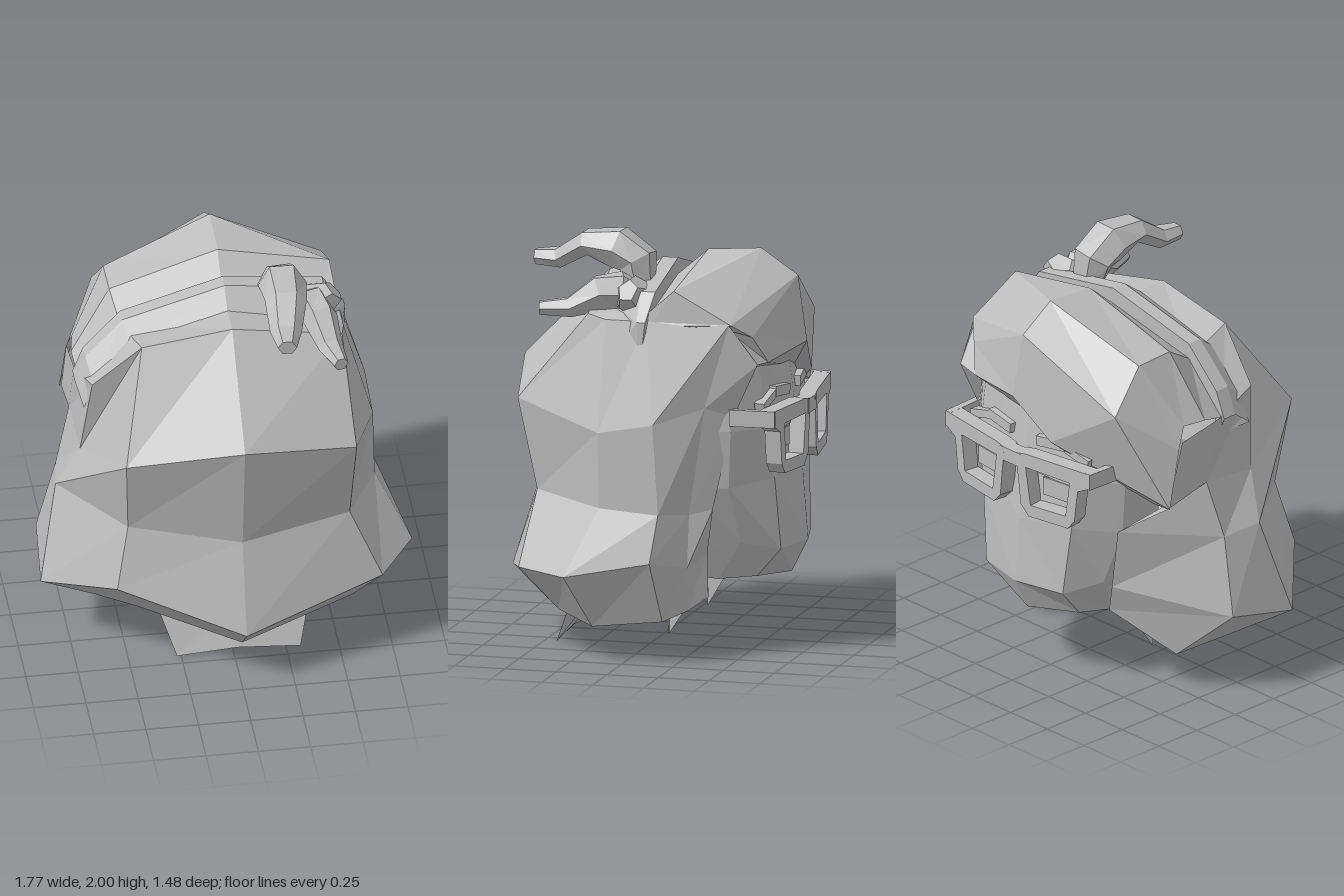
import * as THREE from 'three';

const clay = new THREE.MeshStandardMaterial({ color: 0xbdbdbd, flatShading: true, side: THREE.DoubleSide });
clay.name = 'clay grey';

// Faceted skin stretched over rows of cross-section points
function skin(name, rows, closed = false) {
  const pos = [];
  const n = rows[0].length;
  for (let i = 0; i < rows.length - 1; i++) {
    for (let j = 0; j < (closed ? n : n - 1); j++) {
      const k = (j + 1) % n;
      const a = rows[i][j], b = rows[i][k], c = rows[i + 1][k], d = rows[i + 1][j];
      pos.push(...a, ...b, ...c, ...a, ...c, ...d);
    }
  }
  const g = new THREE.BufferGeometry();
  g.setAttribute('position', new THREE.Float32BufferAttribute(pos, 3));
  g.computeVertexNormals();
  const m = new THREE.Mesh(g, clay);
  m.name = name;
  return m;
}

function box(name, size, at, rot = [0, 0, 0]) {
  const m = new THREE.Mesh(new THREE.BoxGeometry(...size), clay);
  m.name = name;
  m.position.set(...at);
  m.rotation.set(...rot);
  return m;
}

// Tapered six-sided tail; each stop is [x, y, z, half width, half height]
function tail(name, stops) {
  const pts = stops.map(s => new THREE.Vector3(s[0], s[1], s[2]));
  const rows = stops.map((s, i) => {
    const t = pts[Math.min(i + 1, pts.length - 1)].clone().sub(pts[Math.max(i - 1, 0)]).normalize();
    const up = new THREE.Vector3().crossVectors(t, new THREE.Vector3(1, 0, 0)).normalize();
    const side = new THREE.Vector3().crossVectors(up, t);
    return Array.from({ length: 6 }, (_, k) => {
      const a = k * Math.PI / 3;
      return pts[i].clone().addScaledVector(side, Math.cos(a) * s[3])
        .addScaledVector(up, Math.sin(a) * s[4] * 1.15).toArray();
    });
  });
  rows.unshift(rows[0].map(() => pts[0].toArray()));
  rows.push(rows[0].map(() => pts[pts.length - 1].toArray()));
  return skin(name, rows, true);
}

export function createModel() {
  const model = new THREE.Group();
  model.name = 'head';

  // Long hair: locks from one side of the face round the back to the other, each top to bottom
  const locks = [
    [[.51, 1.43, -.6], [.5, 1.17, -.48], [.51, .72, -.38], [.46, .5, -.34], [.48, .29, -.35]],
    [[.55, 1.62, -.47], [.58, 1.22, -.36], [.57, .7, -.28], [.6, .45, -.28], [.58, .24, -.28]],
    [[.57, 1.62, -.07], [.71, 1.15, -.14], [.72, .72, -.17], [.8, .5, -.15], [.68, .2, -.18]],
    [[.57, 1.62, .13], [.71, 1.1, .13], [.72, .74, .12], [.88, .43, .25], [.73, .17, .15]],
    [[.55, 1.64, .22], [.57, 1.22, .56], [.55, .78, .47], [.7, .43, .52], [.57, .21, .36]],
    [[.02, 1.75, .26], [.02, 1.32, .68], [.02, .75, .6], [.02, .3, .74], [.02, .15, .58]],
    [[-.41, 1.68, .25], [-.53, 1.22, .57], [-.51, .81, .48], [-.57, .5, .55], [-.45, .28, .4]],
    [[-.64, 1.45, .2], [-.69, 1.05, .15], [-.8, .82, .1], [-.89, .35, .23], [-.62, .19, .15]],
    [[-.69, 1.38, -.05], [-.7, 1.08, -.15], [-.77, .8, -.1], [-.86, .42, -.13], [-.62, .19, -.27]],
    [[-.69, 1.33, -.3], [-.7, 1.02, -.4], [-.46, .85, -.5], [-.42, .55, -.5], [-.38, .41, -.48]],
  ];
  // Tuck the hem inwards underneath
  locks.forEach(l => {
    const [x, y, z] = l[4];
    l.push([x * .6, y + .16, z * .6]);
  });
  model.add(skin('longHair', locks));

  // Crown and swept fringe, from the back of the crown to the brow
  model.add(skin('crownAndFringe', [
    [[.57, 1.62, .13], [.55, 1.64, .22], [.02, 1.75, .26], [-.41, 1.68, .25], [-.64, 1.45, .2]],
    [[.57, 1.62, -.03], [.5, 1.65, -.06], [.02, 1.74, -.07], [-.47, 1.61, -.04], [-.68, 1.37, -.02]],
    [[.57, 1.62, -.1], [.55, 1.77, -.2], [.02, 1.87, -.22], [-.5, 1.71, -.2], [-.69, 1.4, -.15]],
    [[.57, 1.61, -.25], [.55, 1.62, -.48], [.02, 1.89, -.48], [-.5, 1.7, -.4], [-.67, 1.4, -.27]],
    [[.55, 1.6, -.46], [.46, 1.55, -.56], [.02, 1.77, -.66], [-.53, 1.5, -.585], [-.69, 1.3, -.32]],
    [[.51, 1.43, -.6], [.39, 1.42, -.62], [.04, 1.46, -.71], [-.18, 1.28, -.67], [-.71, 1.02, -.4]],
    [[.48, 1.43, -.5], [.35, 1.38, -.54], [.04, 1.34, -.6], [-.18, 1.25, -.56], [-.58, 1, -.38]],
  ]));

  // Headband: an arc over the crown, upright in front and sloping into the hair behind
  const arc = [[.6, 1.4], [.6, 1.62], [.5, 1.75], [.02, 1.82], [-.47, 1.69], [-.65, 1.5], [-.7, 1.37]];
  model.add(skin('headband', arc.map(([x, y], i) => {
    const w = Math.min(1, .1 + i * .45), z = -.01 - x * .05;
    return [[x * .95, y - .09, z - .06 * w], [x, y, z - .06 * w], [x, y, z + .015 * w], [x * .96, y - .085, z + .13 * w]];
  }), true));

  // Knot with two curling tails
  const knot = new THREE.Mesh(new THREE.DodecahedronGeometry(1), clay);
  knot.name = 'knot';
  knot.scale.set(.13, .09, .08);
  knot.position.set(.45, 1.72, .03);
  model.add(knot);
  model.add(tail('upperTail', [[.3, 1.72, .03, .08, .06], [.28, 1.85, .05, .11, .085], [.275, 1.91, .15, .115, .09],
    [.27, 1.925, .3, .1, .055], [.25, 1.84, .44, .075, .045], [.24, 1.835, .56, .045, .035]]));
  model.add(tail('lowerTail', [[.38, 1.69, .01, .06, .06], [.42, 1.73, .1, .09, .085], [.45, 1.72, .19, .085, .08],
    [.48, 1.65, .33, .06, .045], [.51, 1.645, .47, .035, .03]]));

  // Face: each row gives y, then half profile points [x, y offset, z], mirrored
  const faceRows = [
    [.5, [[0, 0, -.25], [.15, -.02, -.25], [.25, -.06, -.25], [.3, -.1, -.25]]],
    [.34, [[0, 0, -.63], [.25, .02, -.53], [.32, .01, -.36], [.34, .02, -.28]]],
    [.5, [[0, 0, -.71], [.26, 0, -.65], [.36, .04, -.48], [.4, 0, -.28]]],
    [.82, [[0, 0, -.685], [.3, .03, -.63], [.46, 0, -.45], [.52, 0, -.28]]],
    [1.1, [[0, 0, -.65], [.36, 0, -.6], [.5, 0, -.47], [.54, 0, -.28]]],
    [1.5, [[0, 0, -.6], [.34, 0, -.56], [.49, 0, -.44], [.53, 0, -.28]]],
  ];
  model.add(skin('face', faceRows.map(([y, half]) => {
    const row = half.map(([x, dy, z]) => [.02 + x, y + dy, z]);
    const mirrored = half.slice(1).map(([x, dy, z]) => [.02 - x, y + dy, z]).reverse();
    return [...mirrored, ...row];
  })));

  // Glasses, eyes and brows on each side
  const glasses = new THREE.Group();
  glasses.name = 'glasses';
  for (const s of [1, -1]) {
    const pt = ([x, y]) => new THREE.Vector2(s * x, y);
    const rim = new THREE.Shape([[.04, 1.19], [.1, 1.2], [.48, 1.21], [.48, 1.13], [.42, 1.1], [.4, .94], [.36, .89],
      [.12, .88], [.07, .93]].map(pt));
    rim.holes.push(new THREE.Path([[.1, 1.13], [.37, 1.13], [.345, .95], [.13, .94]].map(pt)));
    const mesh = new THREE.Mesh(new THREE.ExtrudeGeometry(rim, { depth: .08, bevelEnabled: false }), clay);
    mesh.name = 'rim';
    mesh.position.set(.03, 0, -.74);
    mesh.rotation.y = -s * .11;
    glasses.add(mesh);
    glasses.add(box('temple', [.035, .08, .22], [.03 + s * .48, 1.17, -.575], [0, s * .05, 0]));

    const eye = new THREE.Group();
    eye.name = 'eye';
    eye.add(box('upperLid', [.22, .03, .03], [.03 + s * .23, 1.09, -.63], [0, -s * .13, s * -.08]));
    eye.add(box('eyeball', [.17, .09, .01], [.03 + s * .23, 1.03, -.645], [0, -s * .13, 0]));
    eye.add(box('innerBrow', [.17, .05, .05], [.03 + s * .17, 1.25, -.615], [0, -s * .12, s * .1]));
    eye.add(box('outerBrow', [.16, .04, .05], [.03 + s * .32, 1.23, -.595], [0, -s * .12, s * -.3]));
    model.add(eye);
  }
  glasses.add(box('bridge', [.14, .07, .07], [.03, 1.155, -.7]));
  model.add(glasses);

  // Neck and shirt collar
  const neck = new THREE.Mesh(new THREE.CylinderGeometry(.19, .2, .45, 6, 1, true), clay);
  neck.name = 'neck';
  neck.position.set(.02, .42, -.02);
  model.add(neck);
  model.add(skin('collar', [
    [[-.3, .45, -.2], [-.36, .36, .12], [.02, .38, .2], [.38, .36, .12], [.34, .45, -.2]],
    [[-.3, .25, -.14], [-.36, .21, .25], [.02, .2, .3], [.4, .21, .25], [.36, .25, -.14]],
  ]));
  for (const s of [1, -1]) {
    model.add(skin('collarPoint', [
      [[.02 + s * .3, .5, -.1], [.02 + s * .26, .46, -.36]],
      [[.025 + s * .335, .08, -.12], [.025 + s * .33, .08, -.125]],
    ]));
  }
  // Folded flap at the nape
  model.add(skin('collarFlap', [
    [[-.36, .24, .25], [.02, .22, .25], [.4, .24, .25]],
    [[-.27, 0, .44], [.02, .02, .44], [.32, 0, .44]],
    [[-.34, .2, .36], [.02, .2, .36], [.37, .2, .36]],
  ]));

  return model;
}
